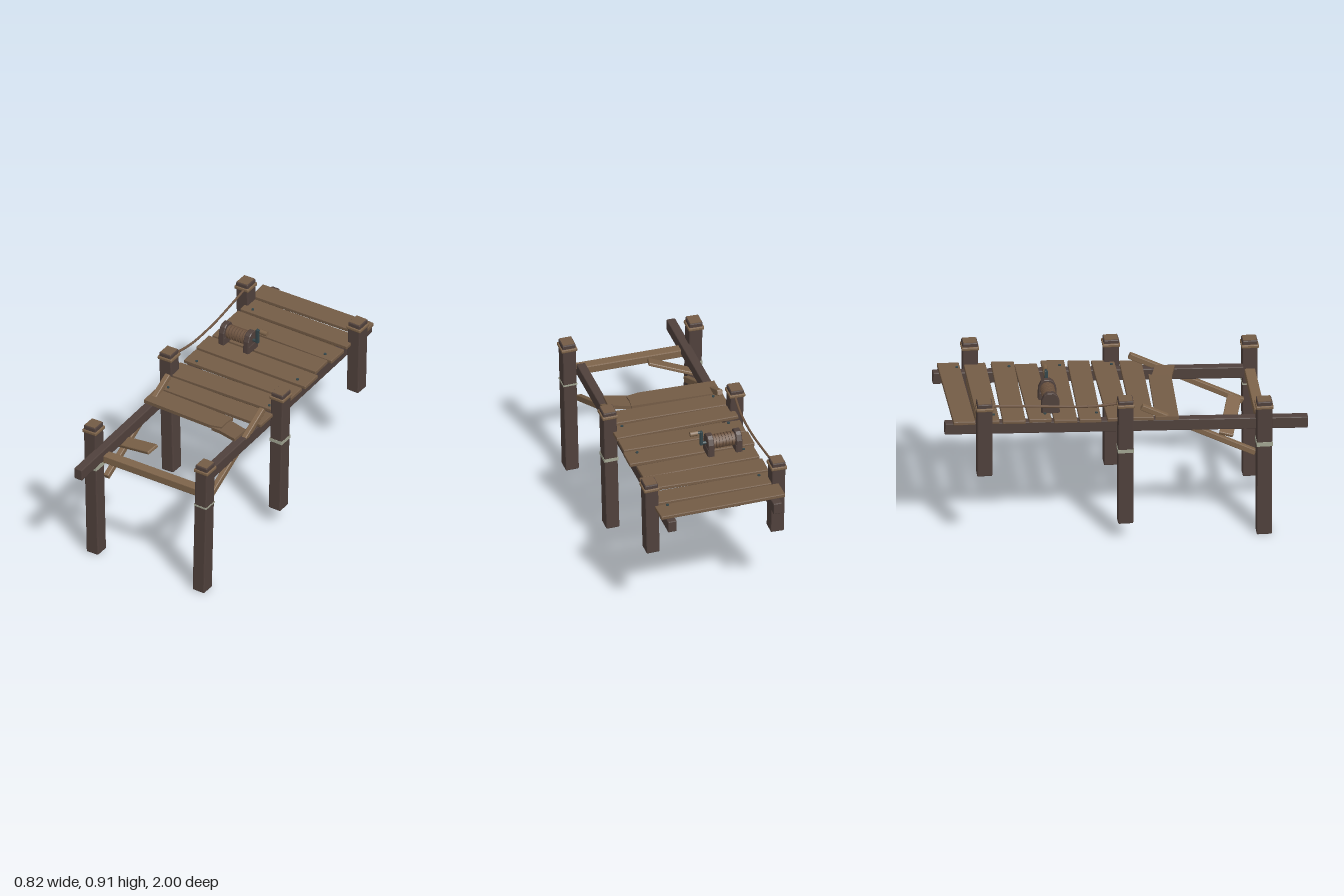
import * as THREE from 'three';
import { RoundedBoxGeometry } from 'three/addons/geometries/RoundedBoxGeometry.js';

const mat = (name, color) => Object.assign(new THREE.MeshStandardMaterial({ color }), { name });

export function createModel() {
  const darkWood = mat('dark wood', 0x50413c);
  const plankWood = mat('plank wood', 0x745c46);
  const paleWood = mat('pale wood', 0x7e644a);
  const ropeTan = mat('rope', 0x6f5541);
  const drumWood = mat('drum wood', 0x5b463a);
  const iron = mat('iron', 0x34464a);
  const paleBand = mat('pale band', 0xa3a693);

  const model = new THREE.Group();
  model.name = 'brokenDock';

  const add = (parent, name, geometry, material, x = 0, y = 0, z = 0) => {
    const mesh = new THREE.Mesh(geometry, material);
    mesh.name = name;
    mesh.position.set(x, y, z);
    parent.add(mesh);
    return mesh;
  };

  // Box with flat chamfered edges
  const block = (w, h, d, bevel = 0.005) => {
    const g = new RoundedBoxGeometry(w, h, d, 1, bevel);
    g.computeVertexNormals();
    return g;
  };

  // Timber running along local z between two points
  const strut = (parent, name, a, b, w, h, material) => {
    const from = new THREE.Vector3(...a), to = new THREE.Vector3(...b);
    const mid = from.clone().add(to).multiplyScalar(0.5);
    const mesh = add(parent, name, block(w, h, from.distanceTo(to)), material, mid.x, mid.y, mid.z);
    mesh.lookAt(to);
    return mesh;
  };

  // Posts: z, bottom, top, collar height, band height (left, right)
  const postRows = [
    ['front', 0.752, 0, 0.825, 0.79, [0.026, 0.01]],
    ['middle', -0.01, 0.11, 0.872, 0.84, [0.02, 0.02]],
    ['rear', -0.785, 0.45, 0.897, 0.863, null],
  ];
  const slope = 0.023;
  for (const [row, z, y0, y1, collarY, bands] of postRows) {
    for (const side of [-1, 1]) {
      const post = new THREE.Group();
      post.name = row + (side > 0 ? 'LeftPost' : 'RightPost');
      post.position.set(side * 0.344, 0, z);
      post.rotation.z = -side * slope;
      model.add(post);
      add(post, 'shaft', block(0.076, y1 - y0, 0.084, 0.006), darkWood, 0, (y0 + y1) / 2, 0);
      add(post, 'topGrain', new THREE.BoxGeometry(0.066, 0.004, 0.074), plankWood, 0, y1, 0);
      add(post, 'collar', block(0.09, 0.02, 0.096), paleWood, 0, collarY, 0);
      if (bands) {
        add(post, 'paintBand', new THREE.BoxGeometry(0.08, bands[side < 0 ? 0 : 1], 0.088), paleBand, 0, 0.562, 0);
      }
    }
  }

  // Cross beams and diagonal braces
  for (const [z, y] of [[0.75, 0.633], [-0.01, 0.665], [-0.785, 0.693]]) {
    add(model, 'crossBeam', block(0.66, 0.046, 0.058), paleWood, 0, y, z);
  }
  for (const side of [-1, 1]) {
    strut(model, 'brace', [side * 0.306, 0.471, 0.71], [side * 0.306, 0.785, 0.085], 0.032, 0.034, paleWood);
  }

  // Sloping deck, rising toward the rear
  const deck = new THREE.Group();
  deck.name = 'deck';
  deck.position.y = 0.684;
  deck.rotation.x = 0.036;
  model.add(deck);
  add(deck, 'rightBeam', block(0.05, 0.068, 1.996), darkWood, -0.305, 0, 0);
  add(deck, 'leftBeam', block(0.05, 0.068, 1.708), darkWood, 0.297, 0, -0.143);

  // Planks: centre z, depth, left edge x, right edge x, yaw, lift
  const planks = [
    [-0.902, 0.12, -0.36, 0.352, 0.018, 0.002],
    [-0.762, 0.12, -0.346, 0.345, 0.004, 0],
    [-0.615, 0.126, -0.35, 0.35, -0.016, 0.001],
    [-0.48, 0.125, -0.342, 0.325, 0.012, 0],
    [-0.336, 0.128, -0.356, 0.356, -0.006, 0.002],
    [-0.197, 0.12, -0.35, 0.346, -0.014, 0],
    [-0.052, 0.126, -0.352, 0.346, 0.018, 0.002],
    [0.09, 0.122, -0.34, 0.34, -0.008, 0],
  ];
  planks.forEach(([z, d, x0, x1, yaw, lift], i) => {
    const plank = add(deck, 'plank', block(x1 - x0, 0.022, d, 0.004), plankWood, (x0 + x1) / 2, 0.045 + lift, z);
    plank.rotation.y = yaw;
    plank.rotation.z = (i % 3 - 1) * 0.004;
    for (const nx of [-0.28, 0.285]) {
      if ((i + (nx > 0 ? 1 : 0)) % 2) {
        add(deck, 'nail', new THREE.CylinderGeometry(0.008, 0.008, 0.006, 8), iron, nx, 0.06 + lift, z + 0.035);
      }
    }
  });

  // Snapped plank in two pieces, outlined in x and z
  const slab = (name, points, y) => {
    const shape = new THREE.Shape(points.map(([x, z]) => new THREE.Vector2(x, -z)));
    const g = new THREE.ExtrudeGeometry(shape, { depth: 0.02, bevelEnabled: false });
    g.rotateX(-Math.PI / 2);
    return add(deck, name, g, plankWood, 0, y, 0);
  };
  slab('snappedPlank', [[-0.335, 0.285], [0.1, 0.297], [0.15, 0.285], [0.168, 0.28],
    [0.165, 0.235], [0.172, 0.175], [-0.335, 0.158]], 0.034);
  const stub = slab('snappedEnd', [[0.11, 0.297], [0.17, 0.303], [0.285, 0.332], [0.29, 0.225], [0.165, 0.19], [0.15, 0.25]], 0.018);
  stub.rotation.z = 0.04;

  // Fallen plank caught under the beam
  const fallen = strut(model, 'fallenPlank', [-0.345, 0.605, 0.545], [-0.06, 0.69, 0.622], 0.078, 0.02, paleWood);
  fallen.rotateZ(0.22);

  // Winch
  const winch = new THREE.Group();
  winch.name = 'winch';
  winch.position.set(0, 0.75, -0.41);
  model.add(winch);
  const cheek = new THREE.Shape([[-0.048, 0], [0.048, 0], [0.046, 0.075], [0.032, 0.106], [0.016, 0.118],
    [-0.016, 0.118], [-0.032, 0.106], [-0.046, 0.075]].map(p => new THREE.Vector2(...p)));
  const cheekGeometry = new THREE.ExtrudeGeometry(cheek, { depth: 0.026, bevelSize: 0.003, bevelThickness: 0.004, bevelSegments: 1 });
  cheekGeometry.rotateY(Math.PI / 2);
  for (const x of [-0.264, -0.104]) {
    add(winch, 'cheek', cheekGeometry, darkWood, x, 0.002, 0);
    add(winch, 'foot', block(0.04, 0.05, 0.094), darkWood, x + 0.013, 0.026, 0);
  }
  const rod = (name, r, x0, x1, y, material, sides = 12) => {
    const m = add(winch, name, new THREE.CylinderGeometry(r, r, x1 - x0, sides), material, (x0 + x1) / 2, y, 0);
    m.rotation.z = Math.PI / 2;
  };
  rod('drum', 0.034, -0.24, -0.1, 0.073, drumWood);
  for (let i = 0; i < 7; i++) {
    const x = -0.222 + i * 0.018;
    rod('ropeCoil', 0.04, x - 0.0065, x + 0.0065, 0.073, ropeTan);
  }
  rod('axle', 0.009, -0.1, -0.04, 0.073, iron, 8);
  add(winch, 'crankArm', block(0.016, 0.088, 0.018, 0.003), iron, -0.046, 0.107, 0);
  rod('crankPin', 0.007, -0.05, -0.02, 0.144, iron, 8);
  rod('crankHandle', 0.014, -0.026, 0.018, 0.144, paleWood, 8);

  // Rope rail sagging between two posts
  const sag = new THREE.CatmullRomCurve3([[-0.352, 0.838, -0.04], [-0.345, 0.826, -0.12], [-0.338, 0.82, -0.22],
    [-0.335, 0.83, -0.42], [-0.342, 0.846, -0.6], [-0.352, 0.86, -0.76]].map(p => new THREE.Vector3(...p)));
  add(model, 'ropeRail', new THREE.TubeGeometry(sag, 24, 0.007, 6), ropeTan);

  return model;
}
